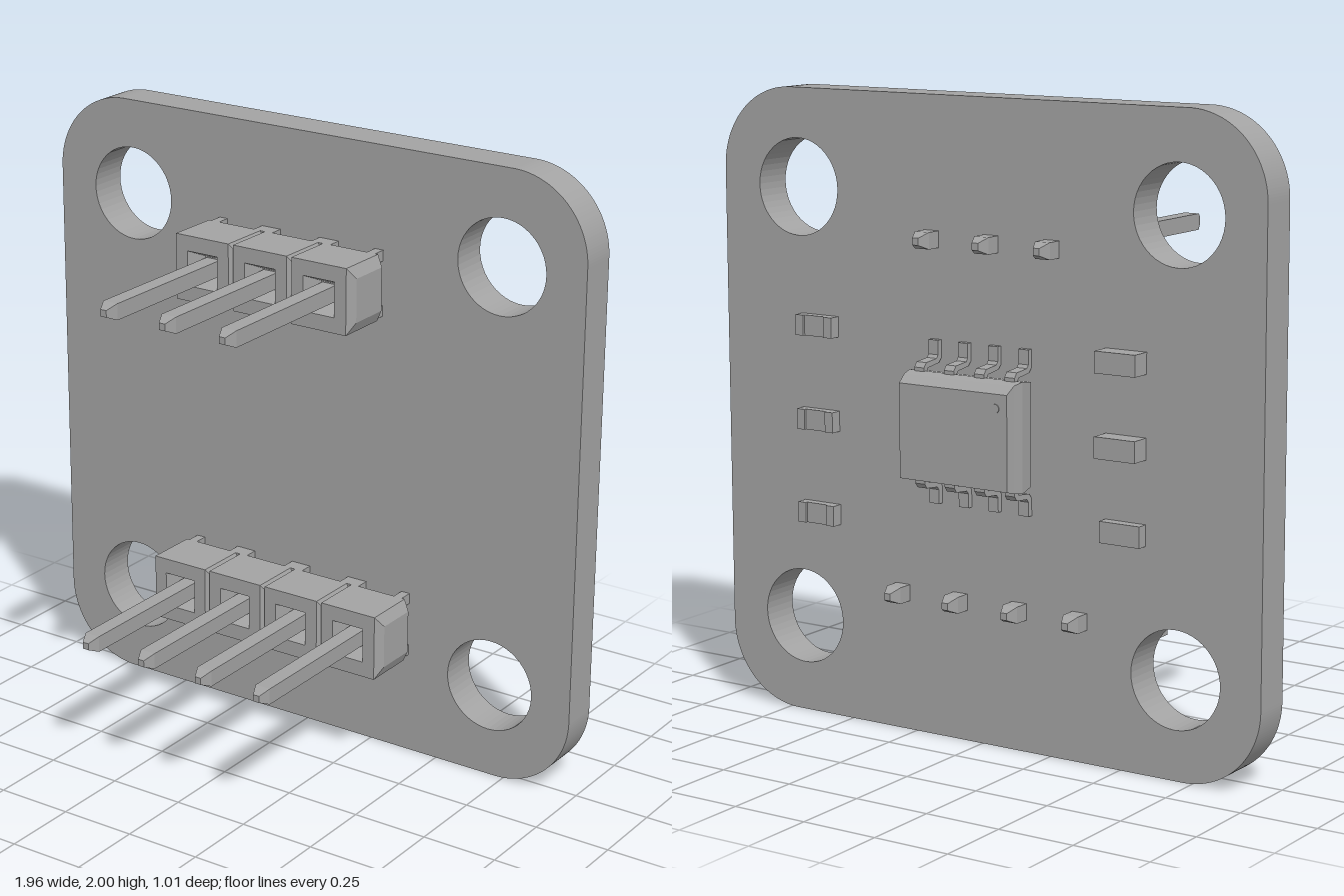
import * as THREE from 'three';

const grey = new THREE.MeshStandardMaterial({ color: 0xa3a3a3 });
grey.name = 'plain grey';

const BACK = -0.35, FRONT = -0.22; // board faces

function add(parent, name, geometry, x = 0, y = 0, z = 0) {
  const mesh = new THREE.Mesh(geometry, grey);
  mesh.name = name;
  mesh.position.set(x, y, z);
  parent.add(mesh);
  return mesh;
}

// Faceted solid through rectangles [halfX, halfY, z, centreX, centreY], capped at both ends
function loft(sections) {
  const rings = sections.map(([hx, hy, z, cx = 0, cy = 0]) =>
    [[-1, -1], [1, -1], [1, 1], [-1, 1]].map(([sx, sy]) => [cx + sx * hx, cy + sy * hy, z]));
  const pos = [];
  const quad = (a, b, c, d) => pos.push(...a, ...b, ...c, ...a, ...c, ...d);
  const first = rings[0], last = rings[rings.length - 1];
  quad(first[3], first[2], first[1], first[0]);
  quad(...last);
  for (let r = 0; r < rings.length - 1; r++) {
    for (let i = 0; i < 4; i++) {
      const j = (i + 1) % 4;
      quad(rings[r][i], rings[r][j], rings[r + 1][j], rings[r + 1][i]);
    }
  }
  const g = new THREE.BufferGeometry();
  g.setAttribute('position', new THREE.Float32BufferAttribute(pos, 3));
  g.computeVertexNormals();
  return g;
}

// Rounded plate with four mounting holes
function boardGeometry() {
  const w = 0.98, h = 1, r = 0.26;
  const s = new THREE.Shape();
  s.absarc(w - r, h - r, r, 0, Math.PI / 2);
  s.absarc(-w + r, h - r, r, Math.PI / 2, Math.PI);
  s.absarc(-w + r, -h + r, r, Math.PI, Math.PI * 1.5);
  s.absarc(w - r, -h + r, r, Math.PI * 1.5, Math.PI * 2);
  for (const x of [-0.69, 0.69]) for (const y of [-0.69, 0.69]) {
    const hole = new THREE.Path();
    hole.absarc(x, y, 0.153, 0, Math.PI * 2, true);
    s.holes.push(hole);
  }
  return new THREE.ExtrudeGeometry(s, { depth: FRONT - BACK, bevelEnabled: false, curveSegments: 24 });
}

// Row of pins in plastic blocks with funnel-shaped openings
function pinHeader(name, count, firstX, y) {
  const group = new THREE.Group();
  group.name = name;
  group.position.set(firstX, y, 0);
  const pitch = 0.218, hx = 0.1, hy = 0.107;
  const block = loft([[hx, hy, -0.175], [hx, hy, 0], [0.057, 0.057, 0], [0.03, 0.03, -0.06]]);
  const stub = loft([[0.0875, hy, 0, 0.0875], [0.07, 0.07, 0.018, 0.1]]).rotateY(Math.PI / 2);
  const pin = loft([[0.011, 0.011, -0.435], [0.026, 0.026, -0.4], [0.026, 0.026, 0.465], [0.011, 0.011, 0.5]]);
  for (let i = 0; i < count; i++) {
    add(group, 'headerBlock', block, i * pitch);
    add(group, 'blockStub', stub, i * pitch + hx);
    add(group, 'pin', pin, i * pitch);
  }
  // Feet that hold the blocks off the board
  for (let i = 0; i <= count; i++) {
    const end = i === 0 || i === count;
    const x = i === 0 ? -0.075 : i === count ? (count - 1) * pitch + 0.075 : (i - 0.5) * pitch;
    for (const side of [-1, 1])
      add(group, 'headerFoot', new THREE.BoxGeometry(end ? 0.03 : 0.07, 0.035, 0.05), x, side * 0.0895, -0.197);
  }
  return group;
}

// Eight-legged chip on the back
function chip() {
  const group = new THREE.Group();
  group.name = 'chip';
  group.position.set(0, 1, 0);
  add(group, 'chipBody', loft([
    [0.196, 0.147, -0.503, 0, -0.008], [0.2, 0.163, -0.47],
    [0.206, 0.17, -0.435], [0.195, 0.16, -0.372]]));
  const dot = add(group, 'chipDot', new THREE.CylinderGeometry(0.014, 0.014, 0.006, 20), -0.155, 0.095, -0.503);
  dot.rotation.x = Math.PI / 2;

  // Leg profile: first coordinate is outward distance, second is height above the board
  const profile = [[0.155, 0.092], [0.18, 0.092], [0.195, 0.08], [0.2, 0.026], [0.21, 0.018], [0.255, 0.018],
    [0.255, 0], [0.2, 0], [0.185, 0.014], [0.178, 0.07], [0.17, 0.075], [0.155, 0.075]];
  const shape = new THREE.Shape(profile.map(([u, v]) => new THREE.Vector2(u, v)));
  const leg = new THREE.ExtrudeGeometry(shape, { depth: 0.036, bevelEnabled: false });
  leg.translate(0, 0, -0.018);
  // outward -> y, height -> -z, width -> -x
  leg.applyMatrix4(new THREE.Matrix4().makeBasis(
    new THREE.Vector3(0, 1, 0), new THREE.Vector3(0, 0, -1), new THREE.Vector3(-1, 0, 0)));
  const lower = leg.clone().rotateZ(Math.PI);
  for (const x of [-0.165, -0.055, 0.055, 0.165]) {
    add(group, 'upperLeg', leg, x, 0, BACK);
    add(group, 'lowerLeg', lower, x, 0, BACK);
  }
  return group;
}

// Small part with raised end caps
function resistor(y) {
  const group = new THREE.Group();
  group.name = 'resistor';
  group.position.set(0.61, y, BACK);
  add(group, 'resistorBody', new THREE.BoxGeometry(0.09, 0.065, 0.03), 0, 0, -0.015);
  for (const side of [-1, 1])
    add(group, 'resistorEnd', new THREE.BoxGeometry(0.03, 0.065, 0.038), side * 0.055, 0, -0.019);
  return group;
}

export function createModel() {
  const model = new THREE.Group();
  model.name = 'circuitBoard';
  add(model, 'board', boardGeometry(), 0, 1, BACK);
  model.add(pinHeader('upperHeader', 3, -0.255, 1.562));
  model.add(pinHeader('lowerHeader', 4, -0.355, 0.443));
  model.add(chip());
  for (const y of [1.26, 0.96, 0.66]) model.add(resistor(y));
  // Plain block components
  for (const [y, h] of [[1.25, 0.066], [0.995, 0.066], [0.735, 0.036]])
    add(model, 'capacitor', new THREE.BoxGeometry(0.14, 0.066, h), -0.515, y, BACK - h / 2);
  return model;
}
